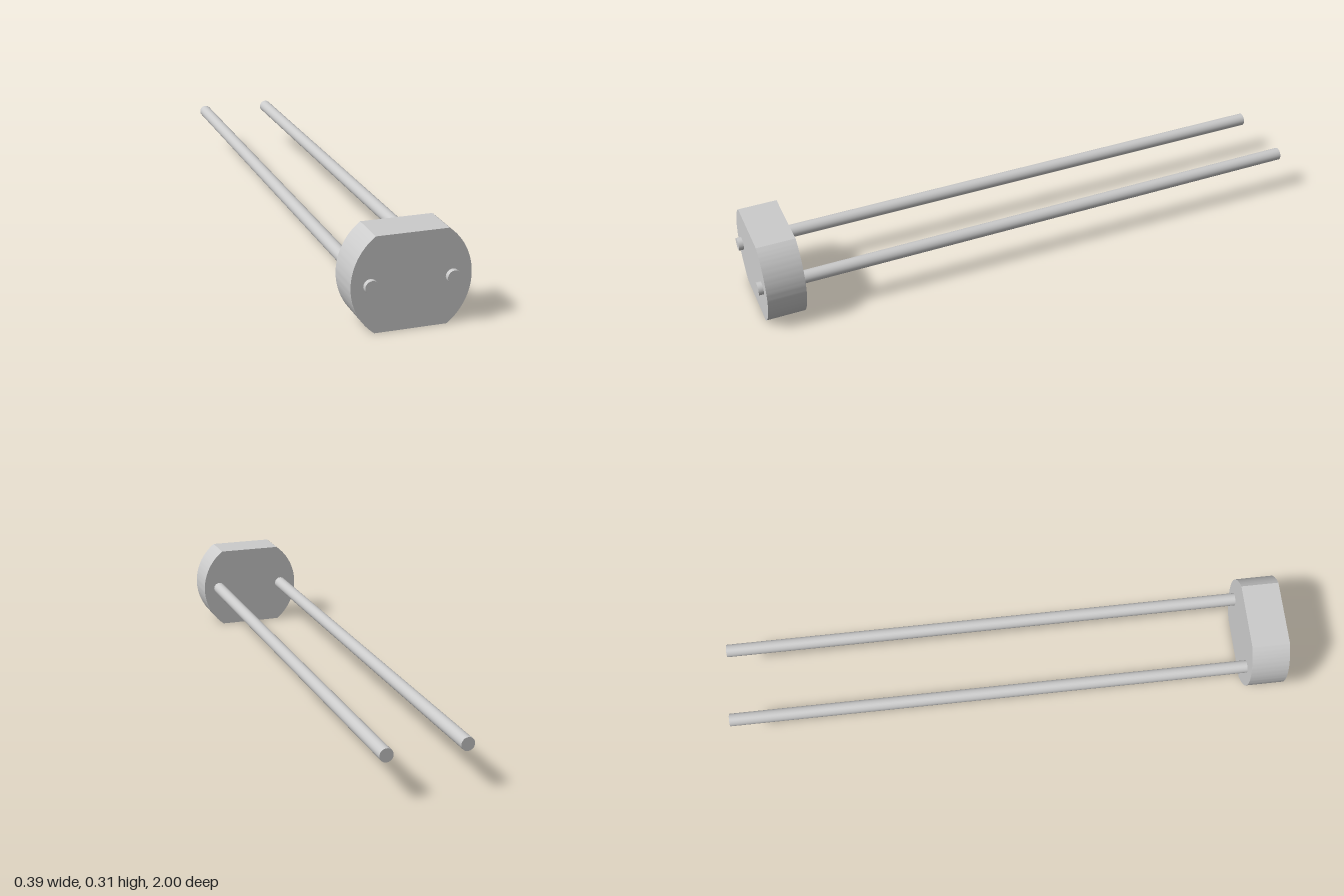
import * as THREE from 'three';
import { toCreasedNormals } from 'three/addons/utils/BufferGeometryUtils.js';

const R = 0.193;        // body radius
const HALF = 0.154;     // half height between the two flats
const BACK = 0.85, FRONT = 0.983;

export function createModel() {
  const group = new THREE.Group();
  group.name = 'twoLeadComponent';
  const material = new THREE.MeshStandardMaterial({ color: 0xcccccc });

  // Disc body with flats on top and bottom
  const a = Math.asin(HALF / R);
  const outline = new THREE.Shape();
  outline.absarc(0, 0, R, -a, a, false);
  outline.absarc(0, 0, R, Math.PI - a, Math.PI + a, false);
  outline.closePath();
  const bodyGeometry = new THREE.ExtrudeGeometry(outline, {
    depth: FRONT - BACK, bevelEnabled: false, curveSegments: 24,
  });
  const body = new THREE.Mesh(toCreasedNormals(bodyGeometry, 0.4), material);
  body.name = 'body';
  body.position.set(0, HALF, BACK);
  group.add(body);

  // Two straight leads running through the body
  const leadGeometry = new THREE.CylinderGeometry(0.0225, 0.0225, 2, 32).rotateX(Math.PI / 2);
  for (const side of [1, -1]) {
    const lead = new THREE.Mesh(leadGeometry, material);
    lead.name = side > 0 ? 'leftLead' : 'rightLead';
    lead.position.set(side * 0.131, HALF, 0);
    group.add(lead);
  }
  return group;
}
